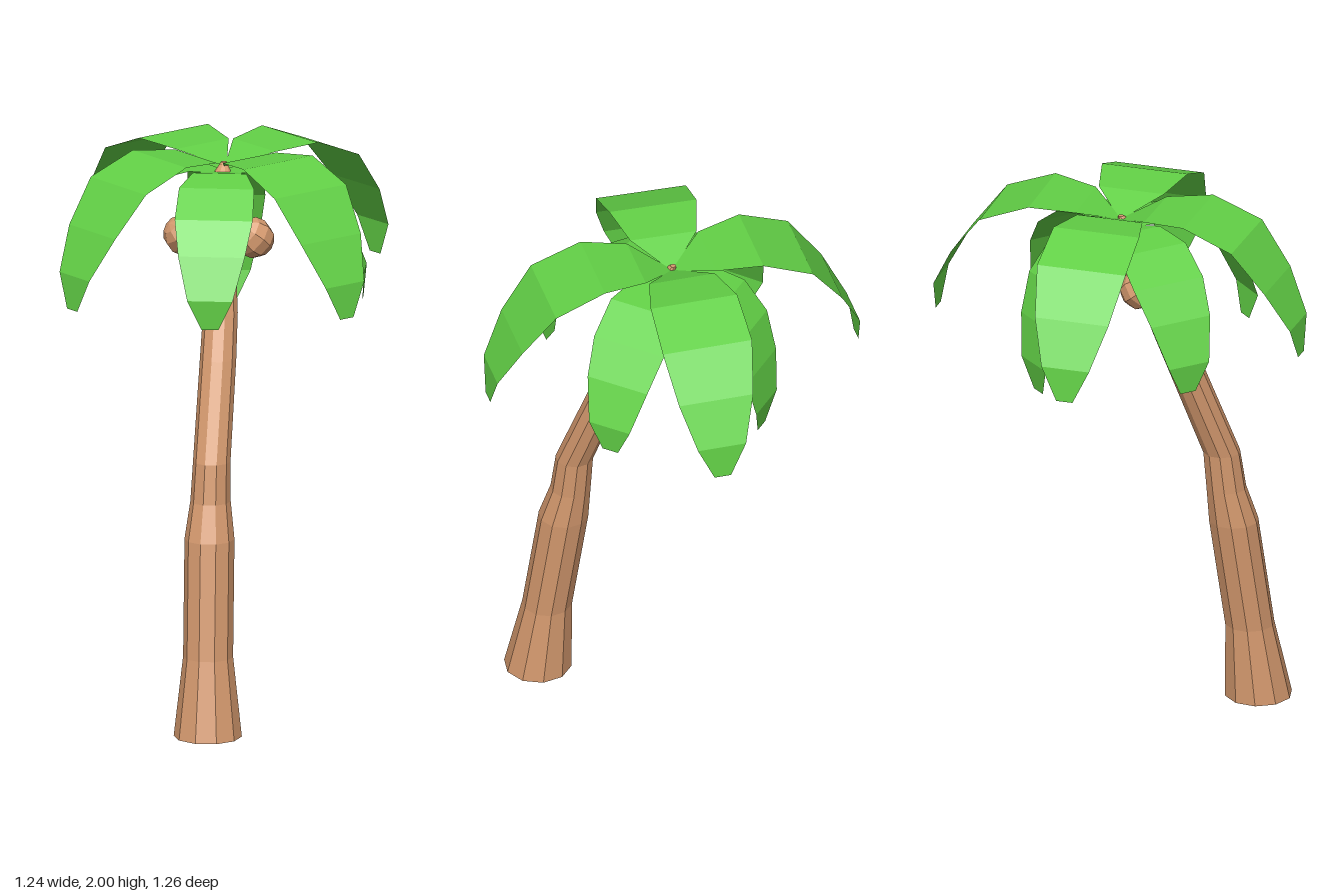
import * as THREE from 'three';

const bark = new THREE.MeshStandardMaterial({ color: 0xd4996e, flatShading: true });
const leaf = new THREE.MeshStandardMaterial({ color: 0x62d046, flatShading: true, side: THREE.DoubleSide });

// Trunk rings from base to tip: x, y, z, radius
const RINGS = [
  [0.138, 0, 0.513, 0.12], [0.126, 0.28, 0.479, 0.088], [0.107, 0.69, 0.417, 0.088],
  [0.1, 0.82, 0.389, 0.071], [0.098, 0.96, 0.372, 0.066], [0.07, 1.3, 0.239, 0.064],
  [0.055, 1.45, 0.178, 0.061], [0.012, 1.7, 0.083, 0.057], [-0.003, 1.9, 0.013, 0.038],
  [-0.006, 1.945, -0.013, 0.01],
];

// Frond sections from root to tip: distance out, height, width
const UPPER = [
  [0, 1.93, 0.01], [0.13, 1.985, 0.24], [0.29, 2, 0.315], [0.47, 1.93, 0.325],
  [0.585, 1.78, 0.27], [0.663, 1.63, 0.175], [0.673, 1.51, 0.06],
];
const LOWER = [
  [0, 1.91, 0.04], [0.11, 1.93, 0.19], [0.23, 1.905, 0.265], [0.35, 1.82, 0.275],
  [0.44, 1.71, 0.235], [0.503, 1.565, 0.16], [0.495, 1.46, 0.06],
];
const DROOPING = [
  [0, 1.91, 0.04], [0.11, 1.91, 0.19], [0.21, 1.86, 0.265], [0.295, 1.75, 0.275],
  [0.34, 1.61, 0.235], [0.36, 1.46, 0.165], [0.34, 1.35, 0.06],
];

// Bent cylinder: each row of vertices moves to its ring
function trunkGeometry() {
  const n = RINGS.length - 1;
  const geo = new THREE.CylinderGeometry(1, 1, 1, 10, n);
  const pos = geo.attributes.position;
  for (let i = 0; i < pos.count; i++) {
    const [x, y, z, r] = RINGS[Math.round((pos.getY(i) + 0.5) * n)];
    pos.setXYZ(i, x + pos.getX(i) * r, y, z + pos.getZ(i) * r);
  }
  geo.computeVertexNormals();
  return geo;
}

// Arched leaf sheet running out along +x
function frondGeometry(sections) {
  const n = sections.length - 1;
  const geo = new THREE.PlaneGeometry(1, 1, 1, n);
  const pos = geo.attributes.position;
  for (let i = 0; i < pos.count; i++) {
    const [r, y, w] = sections[Math.round((pos.getY(i) + 0.5) * n)];
    pos.setXYZ(i, r, y, pos.getX(i) * w);
  }
  geo.index.array.reverse(); // turn the front of each face upward
  geo.computeVertexNormals();
  return geo;
}

export function createModel() {
  const model = new THREE.Group();
  model.name = 'palmTree';
  const add = (parent, name, geo, mat) => {
    const mesh = new THREE.Mesh(geo, mat);
    mesh.name = name;
    parent.add(mesh);
    return mesh;
  };

  add(model, 'trunk', trunkGeometry(), bark);

  // Crown: a cross of four upper fronds over four lower ones
  const crown = new THREE.Group();
  crown.name = 'crown';
  crown.position.set(0, 0, -0.013);
  model.add(crown);
  const addFronds = (name, rootX, sections, directions) => {
    const geo = frondGeometry(sections);
    for (const [x, z] of directions) {
      const frond = add(crown, name, geo, leaf);
      frond.position.x = rootX;
      frond.rotation.y = Math.atan2(-z, x);
    }
  };
  addFronds('upperFrond', 0, UPPER, [[0.5, -0.866], [-0.87, -0.49], [-0.53, 0.85], [0.87, 0.49]]);
  addFronds('lowerFrond', -0.012, LOWER, [[0.28, 0.96], [0.95, -0.3], [-0.96, 0.275]]);
  addFronds('droopingFrond', -0.012, DROOPING, [[-0.32, -0.945]]);

  // Coconuts clustered round the trunk
  const nut = new THREE.SphereGeometry(0.073, 8, 6);
  for (const [x, y, z] of [[-0.11, 1.7, 0.11], [-0.105, 1.7, 0.035], [0.135, 1.7, 0.06]]) {
    const coconut = add(model, 'coconut', nut, bark);
    coconut.position.set(x, y, z);
    coconut.rotation.set(0.5, 0.3, 0.6);
  }
  return model;
}
